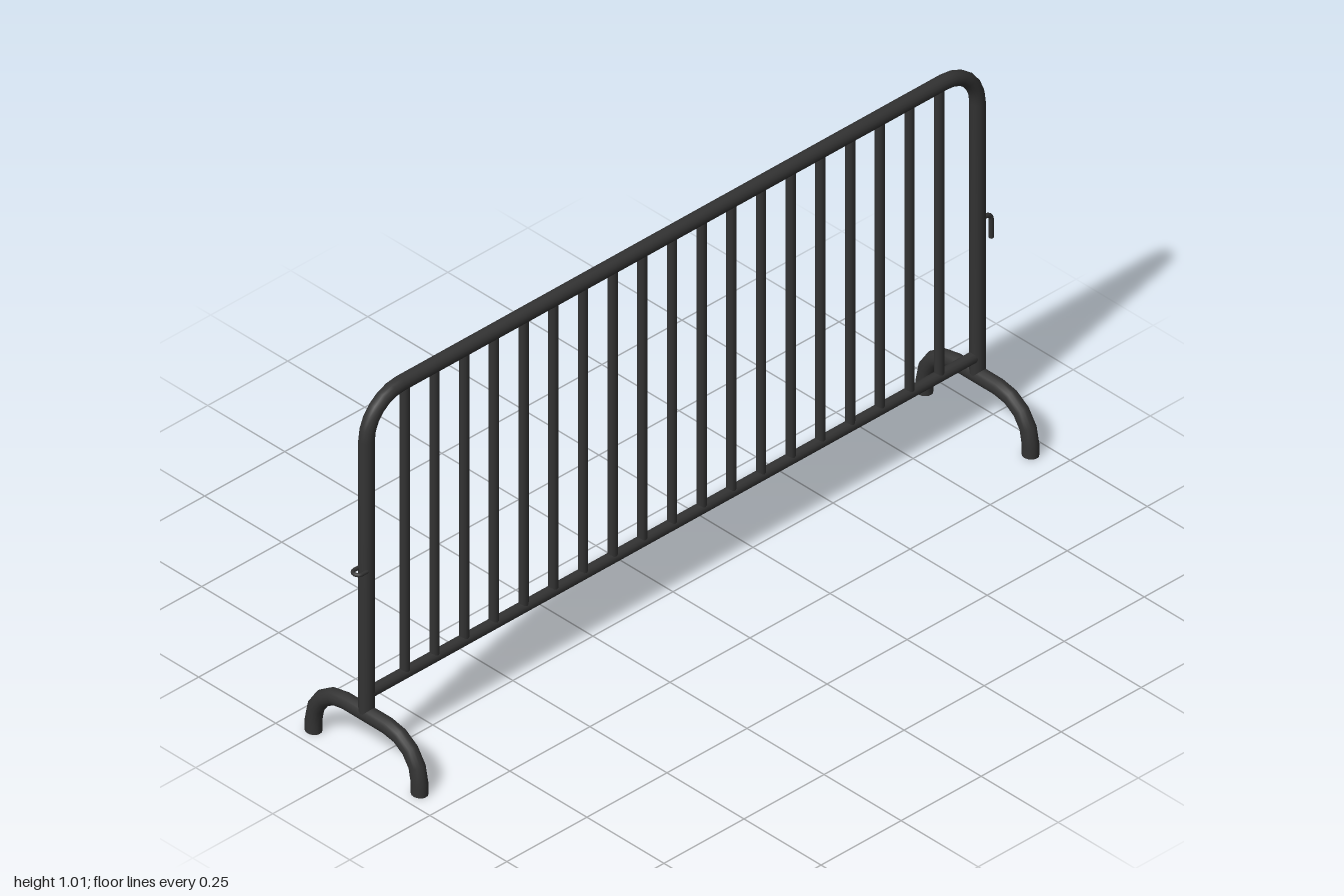
import * as THREE from 'three';

const material = new THREE.MeshStandardMaterial({ color: 0x333333, side: THREE.DoubleSide });
const V = (x, y, z) => new THREE.Vector3(x, y, z);

// Path through given points, with one tube ring at each point
class PointPath extends THREE.Curve {
  constructor(points) {
    super();
    this.points = points;
  }
  getPoint(t, target = V()) {
    const n = this.points.length - 1;
    const s = THREE.MathUtils.clamp(t, 0, 1) * n;
    const i = Math.min(Math.floor(s), n - 1);
    return target.lerpVectors(this.points[i], this.points[i + 1], s - i);
  }
  getPointAt(t, target) {
    return this.getPoint(t, target);
  }
  getTangentAt(t, target = V()) {
    const p = this.getPoint(t);
    const before = p.clone().sub(this.getPoint(t - 1e-4)).normalize();
    const after = this.getPoint(t + 1e-4).sub(p).normalize();
    return target.copy(before).add(after).normalize();
  }
}

// Replaces each inner corner of a path with an arc
function roundCorners(points, radius, steps) {
  const out = [points[0]];
  for (let i = 1; i < points.length - 1; i++) {
    const p = points[i];
    const a = points[i - 1].clone().sub(p).normalize().multiplyScalar(radius);
    const b = points[i + 1].clone().sub(p).normalize().multiplyScalar(radius);
    for (let k = 0; k <= steps; k++) {
      const t = (k / steps) * Math.PI / 2;
      out.push(p.clone().addScaledVector(a, 1 - Math.sin(t)).addScaledVector(b, 1 - Math.cos(t)));
    }
  }
  out.push(points[points.length - 1]);
  return out;
}

// Bent tube with closed ends
function bentTube(name, corners, bend, steps, radius, sides) {
  const group = new THREE.Group();
  group.name = name;
  const path = new PointPath(roundCorners(corners, bend, steps));
  const segments = path.points.length - 1;
  group.add(new THREE.Mesh(new THREE.TubeGeometry(path, segments, radius, sides), material));
  for (const [t, sign] of [[0, -1], [1, 1]]) {
    const cap = new THREE.Mesh(new THREE.CircleGeometry(radius, sides), material);
    cap.position.copy(path.getPoint(t));
    cap.quaternion.setFromUnitVectors(V(0, 0, 1), path.getTangentAt(t).multiplyScalar(sign));
    group.add(cap);
  }
  group.children.forEach((m) => { m.name = name; });
  return group;
}

export function createModel() {
  const model = new THREE.Group();
  model.name = 'crowdBarrier';
  const centre = -0.003;
  const half = 0.954;
  const top = 0.99;
  const railY = 0.187;

  // Outer frame: two posts and the top rail in one bent tube
  model.add(bentTube('frame', [
    V(centre - half, 0.14, 0), V(centre - half, top, 0),
    V(centre + half, top, 0), V(centre + half, 0.14, 0),
  ], 0.105, 6, 0.0187, 16));

  // Bottom rail
  const rail = new THREE.Mesh(new THREE.CylinderGeometry(0.0145, 0.0145, half * 2, 12), material);
  rail.name = 'bottomRail';
  rail.rotation.z = Math.PI / 2;
  rail.position.set(centre, railY, 0);
  model.add(rail);

  // Upright bars
  const barGeometry = new THREE.CylinderGeometry(0.012, 0.012, top - railY, 12);
  for (let i = -9; i <= 9; i++) {
    const bar = new THREE.Mesh(barGeometry, material);
    bar.name = 'bar';
    bar.position.set(centre + i * 0.0927, (top + railY) / 2, 0);
    model.add(bar);
  }

  // Arched feet, slightly narrower along x
  for (const side of [-1, 1]) {
    const foot = bentTube(side > 0 ? 'leftFoot' : 'rightFoot', [
      V(0, 0, 0.172), V(0, 0.134, 0.172), V(0, 0.134, -0.172), V(0, 0, -0.172),
    ], 0.104, 4, 0.021, 16);
    foot.position.x = centre + side * half;
    foot.scale.x = 0.9;
    model.add(foot);
  }

  // Coupling hook on the left post
  model.add(bentTube('hook', [
    V(0.951, 0.557, 0), V(0.994, 0.557, 0), V(0.994, 0.49, 0),
  ], 0.016, 4, 0.006, 8));

  // Coupling loop on the right post
  model.add(bentTube('loop', [
    V(-0.957, 0.535, 0.012), V(-0.995, 0.535, 0.012),
    V(-0.995, 0.535, -0.012), V(-0.957, 0.535, -0.012),
  ], 0.0115, 4, 0.005, 8));

  return model;
}
